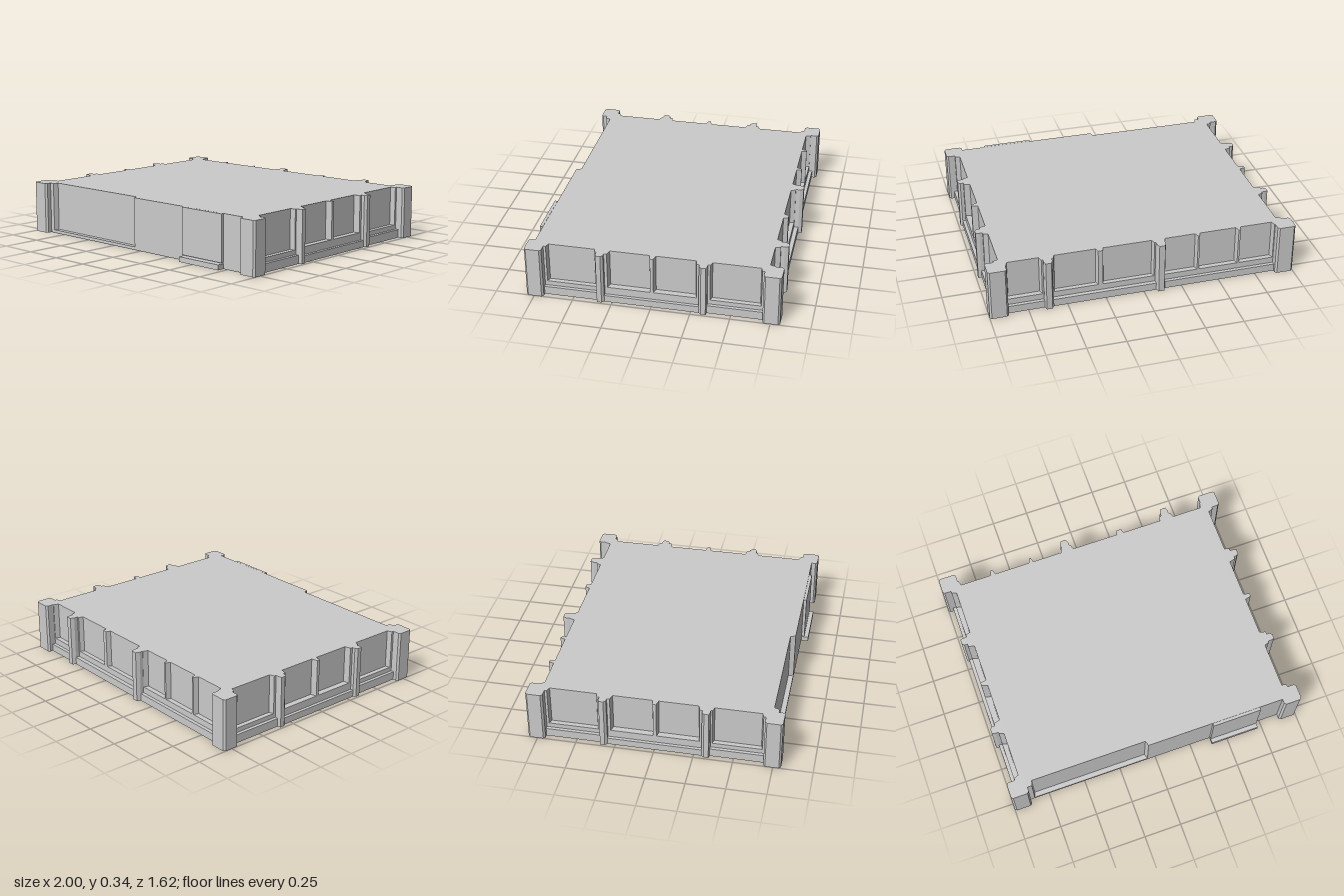
import * as THREE from 'three';

const H = 0.34; // storey height

// Collects quads (corners counter-clockwise from outside) into one flat-shaded mesh
class Sheet {
  constructor(name) { this.name = name; this.v = []; }
  quad(a, b, c, d) { this.v.push(...a, ...b, ...c, ...a, ...c, ...d); }
  // vertical strip along a plan path of [x, z]
  strip(path, y0, y1) {
    for (let i = 0; i + 1 < path.length; i++) {
      const [p, q] = [path[i], path[i + 1]];
      this.quad([p[0], y0, p[1]], [q[0], y0, q[1]], [q[0], y1, q[1]], [p[0], y1, p[1]]);
    }
  }
  // horizontal sill through four plan points
  sill(pts, y) { this.quad(...pts.map(([x, z]) => [x, y, z])); }
  mesh(material) {
    const g = new THREE.BufferGeometry();
    g.setAttribute('position', new THREE.Float32BufferAttribute(this.v, 3));
    g.computeVertexNormals();
    const m = new THREE.Mesh(g, material);
    m.name = this.name;
    return m;
  }
}

// A bay spans a..b along the wall; its base, frame and panel faces step inwards
const bay = (a, b, base, frame, panel, y0, y1, panels) => ({ a, b, base, frame, panel, y0, y1, panels });
const mirrorWall = (items) => items.map((it) => Array.isArray(it)
  ? it.map(([u, d]) => [-u, d]).reverse()
  : { ...it, a: -it.b, b: -it.a, panels: it.panels.map(([p, q]) => [-q, -p]).reverse() }).reverse();

// Builds one wall from bays and pilaster paths; returns its plan outline at the top
function buildWall(sheet, items, place) {
  const outline = [];
  const slant = 0.01;
  for (const it of items) {
    let top;
    if (Array.isArray(it)) {
      top = it.map((p) => place(...p));
      sheet.strip(top, 0, H);
    } else {
      const { a, b, base, frame, panel, y0, y1, panels } = it;
      const P = (list) => list.map((p) => place(...p));
      sheet.strip(P([[a, base], [b, base]]), 0, y0);
      if (frame !== base) {
        sheet.sill(P([[a, base], [b, base], [b, frame], [a, frame]]), y0);
        sheet.strip(P([[a, base], [a, frame], [b, frame], [b, base]]), y0, y1);
      }
      const path = [[a, base], [a, frame]];
      for (const [p, q] of panels) {
        const notch = [[p, frame], [p + slant, panel], [q - slant, panel], [q, frame]];
        path.push(...notch);
        sheet.sill(P([notch[0], notch[3], notch[2], notch[1]]), y1);
      }
      path.push([b, frame], [b, base]);
      top = P(path);
      sheet.strip(top, y1, H);
    }
    outline.push(...top);
  }
  return outline;
}

// Chamfered corner post, from the front/back wall round to the side wall
function buildPost(sheet, sx, sz, wall, tip, inner) {
  const c = 0.012;
  const pts = [[0.88, wall], [0.88, tip - c], [0.88 + c, tip], [1 - c, tip], [1, tip - c],
    [1, inner + c], [1 - c, inner], [0.965, inner]].map(([x, z]) => [x * sx, z * sz]);
  if (sx * sz < 0) pts.reverse();
  sheet.strip(pts, 0, H);
  return pts;
}

export function createModel() {
  const group = new THREE.Group();
  const mat = new THREE.MeshStandardMaterial({ color: 0xcccccc, flatShading: true, side: THREE.DoubleSide });

  // Front: plain wall with one wide shallow recess
  const front = [bay(-0.88, 0.88, 0.76, 0.76, 0.727, 0.02, 0.02, [[-0.85, -0.055]])];

  // Sides: single, double and single panel bays between pilasters (u = -z)
  const side = [
    bay(-0.69, -0.35, 0.965, 0.943, 0.912, 0.055, 0.085, [[-0.675, -0.36]]),
    [[-0.35, 0.965], [-0.345, 0.987], [-0.315, 0.987], [-0.30, 0.973]],
    bay(-0.30, 0.30, 0.973, 0.952, 0.912, 0.045, 0.095, [[-0.282, -0.01], [0.01, 0.282]]),
    [[0.30, 0.973], [0.315, 0.987], [0.345, 0.987], [0.35, 0.965]],
    bay(0.35, 0.70, 0.965, 0.943, 0.912, 0.055, 0.085, [[0.365, 0.685]]),
  ];

  // Back: one, two and three panel bays (u = -x)
  const back = [
    bay(-0.88, -0.645, 0.778, 0.755, 0.722, 0.05, 0.09, [[-0.875, -0.655]]),
    [[-0.645, 0.778], [-0.638, 0.803], [-0.602, 0.803], [-0.59, 0.778]],
    bay(-0.59, 0.08, 0.78, 0.752, 0.722, 0.05, 0.09, [[-0.578, -0.293], [-0.263, 0.072]]),
    [[0.08, 0.778], [0.09, 0.803], [0.128, 0.803], [0.138, 0.778]],
    bay(0.138, 0.88, 0.778, 0.755, 0.722, 0.05, 0.09, [[0.14, 0.36], [0.372, 0.632], [0.645, 0.875]]),
  ];

  const sheets = {};
  for (const n of ['frontWall', 'leftWall', 'backWall', 'rightWall', 'cornerPosts']) sheets[n] = new Sheet(n);
  const posts = sheets.cornerPosts;

  // Walk once round the plan, joining walls and posts into the roof outline
  const outline = [
    ...buildWall(sheets.frontWall, front, (u, d) => [u, d]),
    ...buildPost(posts, 1, 1, 0.76, 0.80, 0.69),
    ...buildWall(sheets.leftWall, side, (u, d) => [d, -u]),
    ...buildPost(posts, 1, -1, 0.778, 0.81, 0.70),
    ...buildWall(sheets.backWall, back, (u, d) => [-u, -d]),
    ...buildPost(posts, -1, -1, 0.778, 0.81, 0.70),
    ...buildWall(sheets.rightWall, mirrorWall(side), (u, d) => [-d, u]),
    ...buildPost(posts, -1, 1, 0.76, 0.80, 0.69),
  ];
  for (const s of Object.values(sheets)) group.add(s.mesh(mat));

  // Roof slab surface, with repeated corners dropped
  const clean = outline.filter(([x, z], i) => {
    const [px, pz] = outline[(i + outline.length - 1) % outline.length];
    return Math.hypot(x - px, z - pz) > 1e-4;
  });
  const roofGeo = new THREE.ShapeGeometry(new THREE.Shape(clean.map(([x, z]) => new THREE.Vector2(x, -z))));
  roofGeo.rotateX(-Math.PI / 2).translate(0, H, 0);
  const roof = new THREE.Mesh(roofGeo, mat);
  roof.name = 'roof';
  group.add(roof);

  // Door panel and doorstep on the front
  const addBox = (name, x0, x1, y0, y1, z0, z1) => {
    const m = new THREE.Mesh(new THREE.BoxGeometry(x1 - x0, y1 - y0, z1 - z0), mat);
    m.position.set((x0 + x1) / 2, (y0 + y1) / 2, (z0 + z1) / 2);
    m.name = name;
    group.add(m);
  };
  addBox('doorPanel', 0.39, 0.72, 0.04, H, 0.761, 0.78);
  addBox('doorstep', 0.39, 0.72, 0, 0.033, 0.761, 0.808);

  return group;
}
